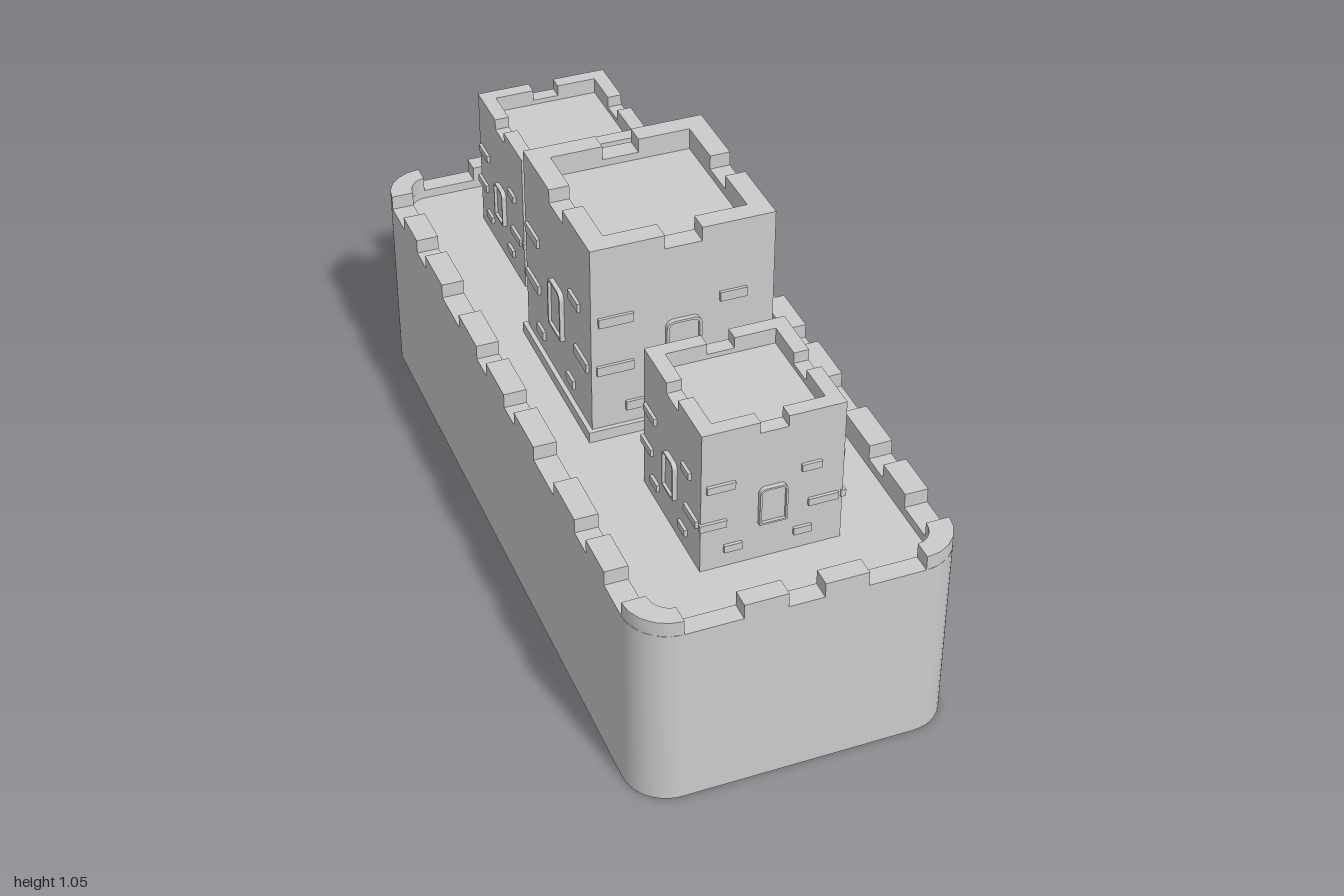
import * as THREE from 'three';
import { toCreasedNormals } from 'three/addons/utils/BufferGeometryUtils.js';

const FLOOR = 0.49;
const material = new THREE.MeshStandardMaterial({ color: 0xcccccc });

function addMesh(parent, name, geometry) {
  const mesh = new THREE.Mesh(geometry, material);
  mesh.name = name;
  parent.add(mesh);
  return mesh;
}

function box(parent, name, x0, x1, y0, y1, z0, z1) {
  const g = new THREE.BoxGeometry(x1 - x0, y1 - y0, z1 - z0);
  g.translate((x0 + x1) / 2, (y0 + y1) / 2, (z0 + z1) / 2);
  return addMesh(parent, name, g);
}

// Raises a plan outline (x, -z) from y0 to y1
function raise(shape, y0, y1) {
  const g = new THREE.ExtrudeGeometry(shape, { depth: y1 - y0, bevelEnabled: false, curveSegments: 5 });
  g.rotateX(-Math.PI / 2);
  g.translate(0, y0, 0);
  return toCreasedNormals(g, 0.6);
}

// Rounded rectangle, centred on the origin
function roundedRect(a, b, r) {
  const s = new THREE.Shape();
  s.absarc(a - r, b - r, r, 0, Math.PI / 2);
  s.absarc(-a + r, b - r, r, Math.PI / 2, Math.PI);
  s.absarc(-a + r, -b + r, r, Math.PI, Math.PI * 1.5);
  s.absarc(a - r, -b + r, r, Math.PI * 1.5, Math.PI * 2);
  s.closePath();
  return s;
}

function square(h) {
  return new THREE.Shape([[-h, -h], [h, -h], [h, h], [-h, h]].map(([x, y]) => new THREE.Vector2(x, y)));
}

// Doorway outline with rounded upper corners
function doorShape(w, h, r) {
  const s = new THREE.Shape();
  s.moveTo(-w, 0);
  s.lineTo(w, 0);
  s.lineTo(w, h - r);
  s.absarc(w - r, h - r, r, 0, Math.PI / 2);
  s.absarc(-w + r, h - r, r, Math.PI / 2, Math.PI);
  s.closePath();
  return s;
}

function createBase() {
  const base = new THREE.Group();
  base.name = 'base';
  const low = 0.515, high = 0.555;

  // Outer wall and courtyard floor
  const ring = roundedRect(0.41, 1, 0.11);
  ring.holes.push(roundedRect(0.35, 0.95, 0.05));
  addMesh(base, 'outerWall', raise(ring, 0, low));
  addMesh(base, 'courtyard', raise(roundedRect(0.35, 0.95, 0.05), 0, FLOOR));

  // Curved corner merlons
  for (const sx of [-1, 1]) for (const sz of [-1, 1]) {
    const pts = [];
    for (const [r, dir] of [[0.11, 1], [0.05, -1]]) {
      const inset = r === 0.11 ? 0 : 1;
      for (let i = 0; i <= 5; i++) {
        const a = (dir > 0 ? i : 5 - i) / 5 * Math.PI / 2;
        pts.push(new THREE.Vector2(
          sx * (0.30 + (inset ? 0.05 : 0.11) * Math.cos(a)),
          sz * (0.89 + (inset ? 0.06 : 0.11) * Math.sin(a))));
      }
    }
    addMesh(base, 'cornerMerlon', raise(new THREE.Shape(pts), low, high));
  }

  // Straight merlons on the ends and long sides
  for (const s of [-1, 1]) {
    const z0 = s > 0 ? 0.95 : -1, x0 = s > 0 ? 0.35 : -0.41;
    for (const m of [-1, 1])
      box(base, 'endMerlon', m * 0.1 - 0.055, m * 0.1 + 0.055, low, high, z0, z0 + 0.05);
    for (const [c, w] of [[0, 0.07], [0.22, 0.073], [0.51, 0.073], [0.72, 0.06]])
      for (const m of c ? [-1, 1] : [1])
        box(base, 'sideMerlon', x0, x0 + 0.06, low, high, m * c - w, m * c + w);
  }
  return base;
}

function createTower(name, z, p) {
  const tower = new THREE.Group();
  tower.name = name;
  tower.position.z = z;
  const { half, inner, gap, roof, low, high } = p;

  // Walls, sunken roof and optional plinth
  const ring = square(half);
  ring.holes.push(square(inner));
  addMesh(tower, 'towerWall', raise(ring, FLOOR, low));
  addMesh(tower, 'towerRoof', raise(square(inner), FLOOR, roof));
  if (p.plinth) box(tower, 'plinth', -p.plinth, p.plinth, FLOOR, 0.52, -p.plinth, p.plinth);

  // L-shaped battlement at each corner
  for (const sx of [-1, 1]) for (const sz of [-1, 1]) {
    const pts = [[gap, half], [half, half], [half, gap], [inner, gap], [inner, inner], [gap, inner]]
      .map(([x, y]) => new THREE.Vector2(x * sx, y * sz));
    addMesh(tower, 'battlement', raise(new THREE.Shape(pts), low, high));
  }

  // Door and projecting bricks on every face
  const { w, y0, y1 } = p.door;
  for (let i = 0; i < 4; i++) {
    const face = new THREE.Group();
    face.name = 'towerFace';
    face.rotation.y = i * Math.PI / 2;
    tower.add(face);

    const t = w * 0.14;
    const frame = doorShape(w, y1 - y0, w * 0.45);
    const opening = doorShape(w - t, y1 - y0 - 2 * t, w * 0.35);
    const hole = new THREE.Path(opening.getPoints(5).map((q) => new THREE.Vector2(q.x, q.y + t)));
    frame.holes.push(hole);
    const frameGeo = new THREE.ExtrudeGeometry(frame, { depth: 0.012, bevelEnabled: false, curveSegments: 5 });
    addMesh(face, 'doorFrame', frameGeo).position.set(0, y0, half);
    const panelGeo = new THREE.ExtrudeGeometry(opening, { depth: 0.004, bevelEnabled: false, curveSegments: 5 });
    addMesh(face, 'doorPanel', panelGeo).position.set(0, y0 + t, half);

    for (const [x0, x1, y] of p.bricks)
      box(face, 'brick', x0, x1, y - p.brickHeight / 2, y + p.brickHeight / 2, half - 0.005, half + 0.008);
  }
  return tower;
}

export function createModel() {
  const model = new THREE.Group();
  model.name = 'castle';
  model.add(createBase());

  const small = {
    half: 0.178, inner: 0.14, gap: 0.035, roof: 0.845, low: 0.858, high: 0.888,
    door: { w: 0.035, y0: 0.595, y1: 0.70 }, brickHeight: 0.02,
    bricks: [
      [-0.165, -0.095, 0.73], [0.07, 0.12, 0.73],
      [-0.182, -0.115, 0.623], [0.09, 0.165, 0.623],
      [-0.12, -0.075, 0.545], [0.055, 0.10, 0.545],
    ],
  };
  const large = {
    half: 0.238, inner: 0.185, gap: 0.048, roof: 0.99, low: 1.01, high: 1.048, plinth: 0.25,
    door: { w: 0.046, y0: 0.658, y1: 0.80 }, brickHeight: 0.026,
    bricks: [
      [-0.22, -0.13, 0.838], [0.095, 0.165, 0.838],
      [-0.225, -0.13, 0.696], [0.13, 0.222, 0.696],
      [-0.15, -0.10, 0.573], [0.07, 0.12, 0.573],
    ],
  };
  model.add(createTower('frontTower', 0.613, small));
  model.add(createTower('mainTower', 0, large));
  model.add(createTower('backTower', -0.617, small));
  return model;
}
